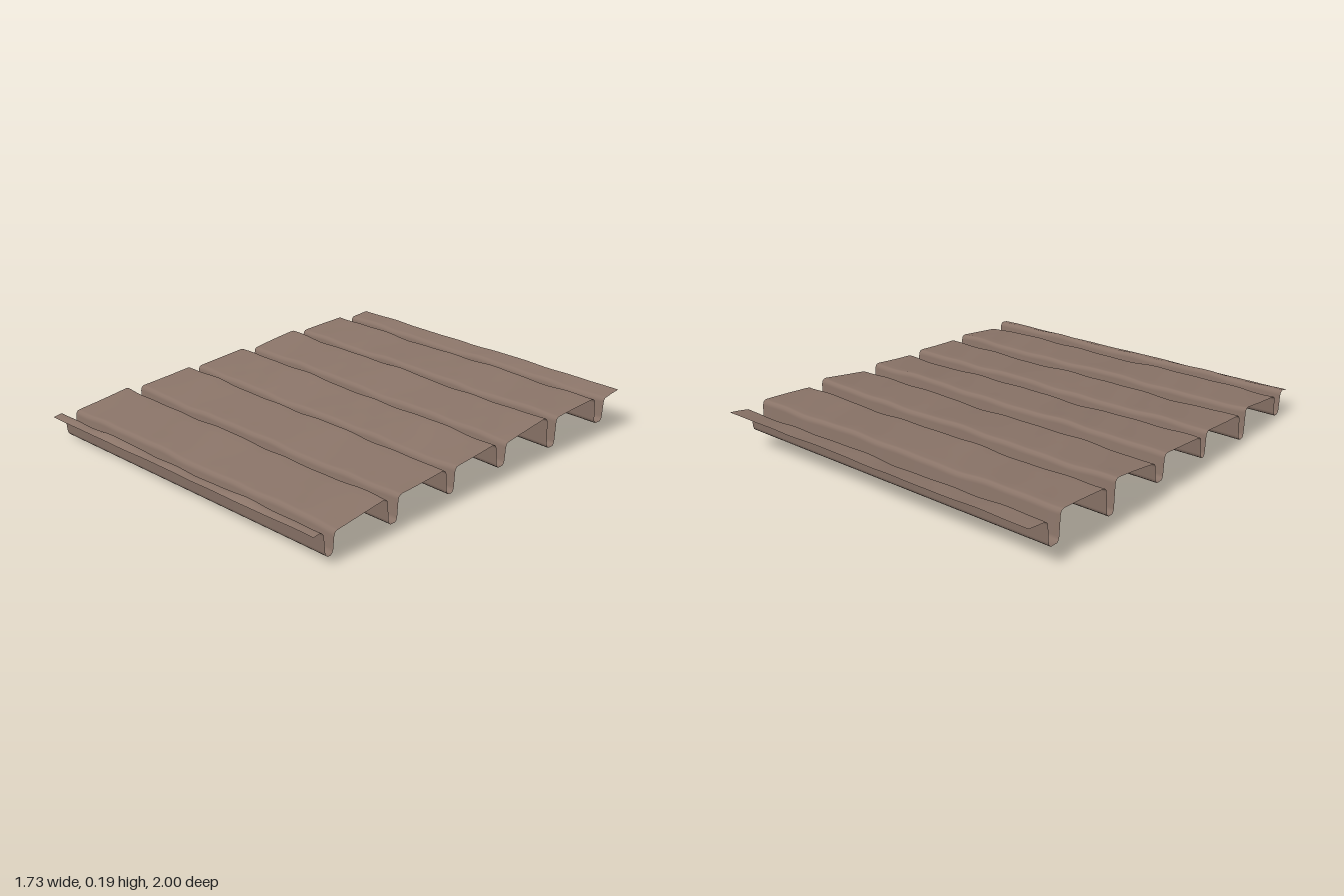
import * as THREE from 'three';

// Grooves from back to front, [left end (-x), right end (+x)] for each value:
// back lip z, front lip z, floor height, back lip height, front lip height
const GROOVES = [
  { z0: [-0.895, -0.895], z1: [-0.812, -0.815], floor: [0.06, 0.065], y0: [0.172, 0.175], y1: [0.186, 0.192] },
  { z0: [-0.54, -0.545], z1: [-0.472, -0.47], floor: [0.042, 0.045], y0: [0.172, 0.176], y1: [0.182, 0.187] },
  { z0: [-0.2, -0.2], z1: [-0.122, -0.125], floor: [0.057, 0.06], y0: [0.158, 0.162], y1: [0.17, 0.175] },
  { z0: [0.165, 0.125], z1: [0.22, 0.19], floor: [0.038, 0.045], y0: [0.142, 0.15], y1: [0.152, 0.163] },
  { z0: [0.515, 0.46], z1: [0.585, 0.53], floor: [0.004, 0.036], y0: [0.128, 0.142], y1: [0.138, 0.152] },
  { z0: [0.88, 0.805], z1: [0.948, 0.868], floor: [0.004, 0.032], y0: [0.115, 0.13], y1: [0.118, 0.142] },
];
const BACK = { z: [-0.998, -0.998], y: [0.182, 0.188] };
const FRONT = { z: [1, 0.915], y: [0.108, 0.136] };

const lerp = THREE.MathUtils.lerp;

// Slightly irregular rolled edge: smooth bumps along x, different on each lip
const wobble = (x, k) =>
  0.0035 * Math.sin(7.3 * x + 2.1 * k) + 0.0025 * Math.sin(15.1 * x + 4.7 * k) + 0.0015 * Math.sin(27 * x + 1.3 * k);

// Cross-section of the sheet, as [z, y] points, at t = 0 (left end) to 1
function section(t, x) {
  const at = (pair) => lerp(pair[0], pair[1], t);
  const points = [];
  let last = [at(BACK.z), at(BACK.y) + wobble(x, 9) * 0.5];
  points.push(last);

  // Flat stretch with faint cross creases
  const flatTo = (z, y, steps) => {
    for (let i = 1; i <= steps; i++) {
      const s = i / steps;
      const crease = 0.0015 * Math.sin(34 * x + 3 * z) * Math.sin(Math.PI * s);
      points.push([lerp(last[0], z, s), lerp(last[1], y, s) + crease]);
    }
  };

  GROOVES.forEach((g, k) => {
    const z0 = at(g.z0), z1 = at(g.z1), floor = at(g.floor);
    const y0 = at(g.y0) + wobble(x, k), y1 = at(g.y1) + wobble(x, k + 6);
    flatTo(z0 - 0.018, y0, k === 0 ? 2 : 6);
    // Rounded lip, steep wall, rounded floor, and back up
    points.push(
      [z0 - 0.006, y0 - 0.002], [z0 + 0.002, y0 - 0.009], [z0 + 0.006, y0 - 0.022],
      [z0 + 0.011, floor + 0.02], [z0 + 0.015, floor + 0.007], [z0 + 0.023, floor],
      [z1 - 0.023, floor], [z1 - 0.015, floor + 0.007], [z1 - 0.011, floor + 0.02],
      [z1 - 0.005, y1 - 0.022], [z1 - 0.001, y1 - 0.009], [z1 + 0.007, y1 - 0.002],
    );
    last = [z1 + 0.018, y1];
    points.push(last);
  });
  flatTo(at(FRONT.z), at(FRONT.y) + wobble(x, 10) * 0.3, 2);
  return points;
}

// The side edges lean to the right towards the front
function edgeX(z, t) {
  const f = THREE.MathUtils.clamp((z + 0.5) / 1.4, 0, 1);
  const lean = 0.048 * Math.pow(f, 1.6);
  return lerp(-0.866, 0.816, t) + lean;
}

function sheetGeometry(columns) {
  const positions = [], index = [];
  let rows = 0;
  for (let c = 0; c <= columns; c++) {
    const t = c / columns;
    const points = section(t, lerp(-0.85, 0.85, t));
    rows = points.length;
    for (const [z, y] of points) positions.push(edgeX(z, t), Math.max(y, 0), z);
  }
  for (let c = 0; c < columns; c++) {
    for (let r = 0; r < rows - 1; r++) {
      const a = c * rows + r, b = a + 1, d = a + rows, e = d + 1;
      index.push(a, b, d, b, e, d);
    }
  }
  const geometry = new THREE.BufferGeometry();
  geometry.setAttribute('position', new THREE.Float32BufferAttribute(positions, 3));
  geometry.setIndex(index);
  geometry.computeVertexNormals();
  return geometry;
}

export function createModel() {
  const group = new THREE.Group();
  group.name = 'ribbedPanel';
  const brown = new THREE.MeshStandardMaterial({ color: 0x8a7468, side: THREE.DoubleSide });
  brown.name = 'dull brown';
  const sheet = new THREE.Mesh(sheetGeometry(80), brown);
  sheet.name = 'ribbedSheet';
  group.add(sheet);
  return group;
}
